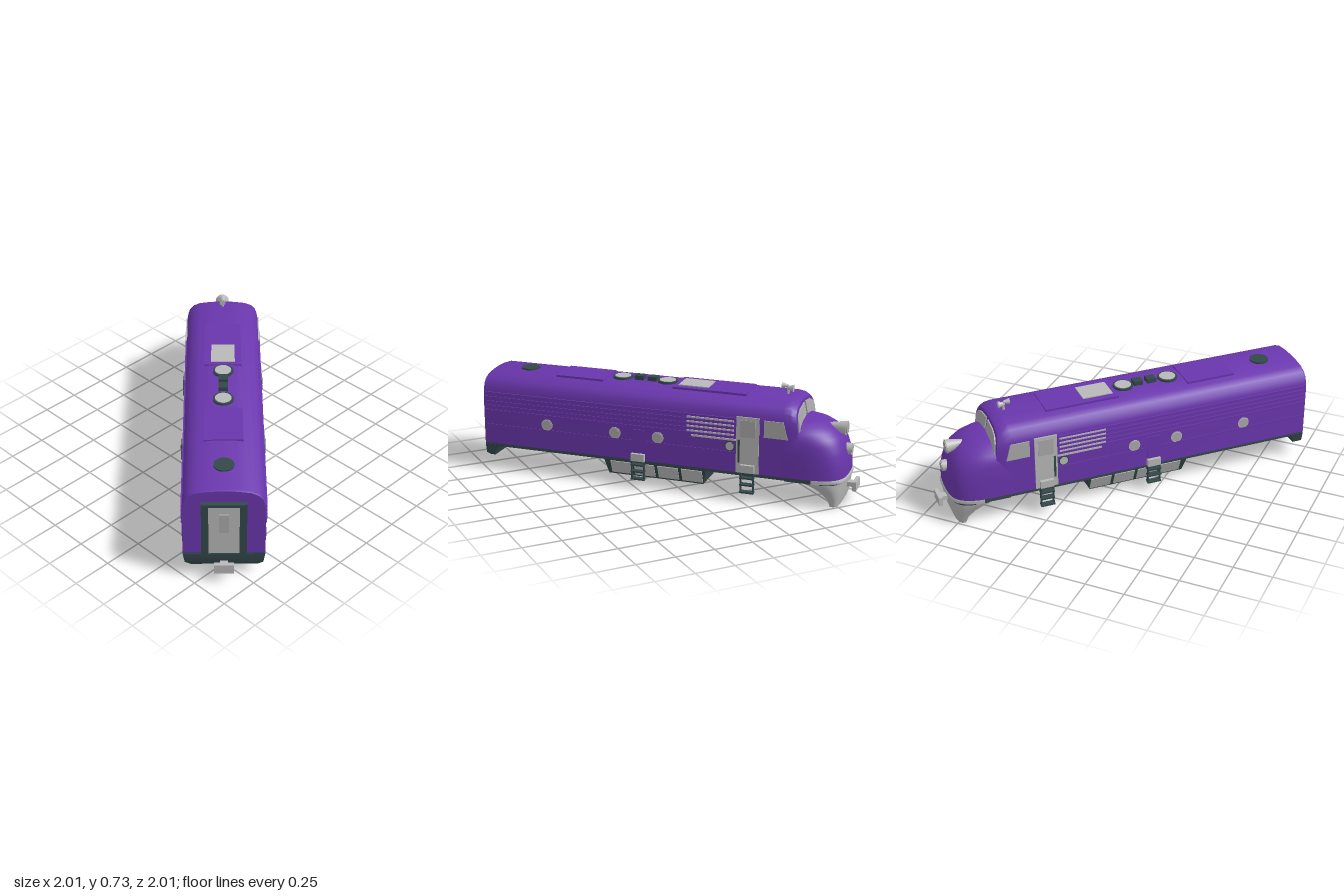
import * as THREE from 'three';
import { toCreasedNormals } from 'three/addons/utils/BufferGeometryUtils.js';

const mat = (name, color) => Object.assign(new THREE.MeshStandardMaterial({ color }), { name });

// Skin a stack of equal-length rings; ends may be capped with fans.
function loft(rings, closed = true, caps = true) {
  const n = rings[0].length, pos = rings.flat(2), idx = [], m = rings.length;
  for (let i = 0; i < m - 1; i++) {
    for (let j = 0; j < (closed ? n : n - 1); j++) {
      const k = (j + 1) % n, a = i * n + j, b = i * n + k;
      idx.push(a, b, a + n, b, b + n, a + n);
    }
  }
  if (caps) {
    [0, m - 1].forEach((r, e) => {
      const c = pos.length / 3;
      for (let k = 0; k < 3; k++) pos.push(rings[r].reduce((s, p) => s + p[k], 0) / n);
      for (let j = 0; j < n; j++) {
        const p = r * n + j, q = r * n + (j + 1) % n;
        e ? idx.push(c, p, q) : idx.push(c, q, p);
      }
    });
  }
  const g = new THREE.BufferGeometry();
  g.setAttribute('position', new THREE.Float32BufferAttribute(pos, 3));
  g.setIndex(idx);
  return toCreasedNormals(g, 0.6);
}

// Rounded nose outline at height y, from the left side round the front to the right.
function plan(y, start, front, width, n = 3.7, span = Math.PI / 2) {
  return Array.from({ length: 33 }, (_, i) => {
    const t = span * (1 - i / 16), c = Math.max(0, Math.cos(t)), s = Math.sin(t);
    return [start + (front - start) * c ** (2 / n), y, width * Math.sign(s) * Math.abs(s) ** (2 / n)];
  });
}

export function createModel() {
  const purple = mat('purple paint', 0x6a36ad), dark = mat('dark underframe', 0x33484a);
  const silver = mat('silver', 0xb8b8b8), glass = mat('grey glass', 0xaaaaaa);
  const trim = mat('open silver trim', 0xb8b8b8);
  trim.side = THREE.DoubleSide;
  const model = new THREE.Group(), loco = new THREE.Group();
  loco.name = 'locomotive';
  model.add(loco);

  const add = (name, geo, m, x = 0, y = 0, z = 0) => {
    const o = new THREE.Mesh(geo, m);
    o.name = name;
    o.position.set(x, y, z);
    loco.add(o);
    return o;
  };
  // Box given by its x range, y range and z range.
  const box = (name, m, x0, x1, y0, y1, z0, z1) =>
    add(name, new THREE.BoxGeometry(x1 - x0, y1 - y0, Math.abs(z1 - z0)), m, (x0 + x1) / 2, (y0 + y1) / 2, (z0 + z1) / 2);
  const upright = (name, m, r, h, x, y) => add(name, new THREE.CylinderGeometry(r, r, h, 32), m, x, y, 0);
  const along = (name, m, rFront, rBack, x0, x1, y) => {
    const o = add(name, new THREE.CylinderGeometry(rFront, rBack, x1 - x0, 28), m, (x0 + x1) / 2, y, 0);
    o.rotation.z = -Math.PI / 2;
    return o;
  };

  // Body shell with arched roof and sloping cab front
  const half = [[0.247, 0.18], [0.247, 0.35], [0.247, 0.5], [0.243, 0.55], [0.23, 0.59], [0.205, 0.62],
    [0.16, 0.641], [0.08, 0.652]];
  const section = [...half.map(([w, y]) => [-w, y]), [0, 0.655], ...half.slice().reverse()];
  const slope = y => -0.2 * Math.max(0, y - 0.5);
  const stations = [[-1.167, 0.99, 0], [-1.155, 1, 0], [0.88, 1, 0], [0.94, 0.985, 0.6], [0.975, 0.945, 1]];
  add('body', loft(stations.map(([x, s, k]) => section.map(([w, y]) => {
    const h = 0.18 + (y - 0.18) * s;
    return [x + k * slope(h), h, w * s];
  }))), purple);

  // Rounded nose
  const noseRows = [[0.18, 1.262, 0.247, 3.7], [0.26, 1.26, 0.247, 3.6], [0.33, 1.25, 0.247, 3.4], [0.39, 1.232, 0.244, 3.1],
    [0.43, 1.21, 0.238, 2.9], [0.465, 1.175, 0.222, 2.7], [0.495, 1.13, 0.19, 2.5], [0.518, 1.07, 0.135, 2.4], [0.533, 0.99, 0.05, 2.2]];
  add('nose', loft(noseRows.map(([y, f, w, n]) => plan(y, 0.88, f, w, n))), purple);

  // Windscreen panes following the sloped cab front
  for (const s of [1, -1]) {
    const pts = [[0.014, 0.525], [0.212, 0.475], [0.203, 0.545], [0.172, 0.58], [0.12, 0.6], [0.014, 0.612]];
    const shape = new THREE.Shape(pts.map(([w, y]) => new THREE.Vector2(-s * w, y)));
    const g = new THREE.ExtrudeGeometry(shape, { depth: 0.008, bevelEnabled: false });
    g.rotateY(Math.PI / 2);
    const p = g.attributes.position;
    for (let i = 0; i < p.count; i++) p.setX(i, p.getX(i) + 0.976 + slope(p.getY(i)));
    g.computeVertexNormals();
    add('windscreen', g, glass);
  }

  // Sill, floor and silver nose band
  box('sill', dark, -1.165, 1.08, 0.16, 0.182, -0.243, 0.243);
  add('noseFloor', loft([0.155, 0.181].map(y => plan(y, 0.9, 1.255, 0.243))), dark);
  add('noseBand', loft([[0.15, 1.262], [0.158, 1.27], [0.174, 1.27], [0.182, 1.264]].map(([y, f]) =>
    plan(y, 0.88, f, 0.251, 3.7, 1.3)), false, false), trim);

  // Pilot: silver outer shell over a dark core
  const pilotRows = [[0, 1.185, 1.235, 0.185], [0.05, 1.17, 1.247, 0.2], [0.1, 1.13, 1.254, 0.222],
    [0.135, 1.08, 1.258, 0.239], [0.156, 1.03, 1.262, 0.247]];
  add('pilot', loft(pilotRows.map(([y, s, f, w]) => plan(y, s, f, w)), false, false), trim);
  add('pilotCore', loft(pilotRows.map(([y, s, f, w]) => plan(y + 0.001, s, f - 0.008, w - 0.006))), dark);

  // Rear skirt and centre tank, both tapering downward
  const hull = (name, rows) => add(name, loft(rows.map(([y, a, b, w]) =>
    [[a, y, w], [b, y, w], [b, y, -w], [a, y, -w]])), dark);
  hull('rearSkirt', [[0.08, -1.155, -1.12, 0.2], [0.105, -1.165, -1.11, 0.235], [0.17, -1.167, -1.07, 0.246]]);
  hull('tank', [[0.05, -0.295, 0.355, 0.19], [0.165, -0.315, 0.385, 0.235]]);

  // Couplers
  box('frontCouplerShank', silver, 1.24, 1.3, 0.09, 0.12, -0.025, 0.025);
  box('frontCoupler', silver, 1.295, 1.32, 0.075, 0.135, -0.06, 0.06);
  box('rearCouplerShank', silver, -1.21, -1.15, 0.085, 0.115, -0.025, 0.025);
  box('rearCoupler', silver, -1.23, -1.205, 0.07, 0.135, -0.06, 0.06);

  // Rear gangway door
  for (const s of [1, -1]) box('rearDoorFrame', dark, -1.195, -1.16, 0.18, 0.57, s * 0.092, s * 0.135);
  box('rearDoorLintel', dark, -1.195, -1.16, 0.55, 0.57, -0.135, 0.135);
  box('rearDoor', silver, -1.178, -1.16, 0.185, 0.55, -0.092, 0.092);
  box('rearDoorWindow', glass, -1.184, -1.177, 0.35, 0.485, -0.028, 0.028);

  // Headlights
  along('headlightHousing', silver, 0.046, 0.012, 1.09, 1.235, 0.473).rotation.z -= 0.06;
  along('headlightLens', glass, 0.036, 0.036, 1.23, 1.242, 0.468);
  along('lowerLamp', silver, 0.036, 0.04, 1.2, 1.272, 0.335);
  along('lowerLampLens', glass, 0.027, 0.027, 1.27, 1.277, 0.335);

  // Roof panels, fans, exhausts and vent
  box('rearRoofPanel', purple, -0.69, -0.36, 0.64, 0.66, -0.12, 0.12);
  box('frontRoofPanel', purple, 0.12, 0.61, 0.64, 0.66, -0.12, 0.12);
  box('roofGrille', silver, 0.145, 0.346, 0.65, 0.666, -0.077, 0.077);
  upright('roofVent', dark, 0.062, 0.02, -0.93, 0.654);
  for (const x of [-0.265, 0.046]) {
    upright('fanRing', dark, 0.066, 0.022, x, 0.655);
    upright('fan', silver, 0.053, 0.022, x, 0.658);
  }
  for (const x of [-0.145, -0.053]) box('exhaust', dark, x - 0.031, x + 0.031, 0.64, 0.682, -0.03, 0.03);

  // Horn
  upright('hornStem', silver, 0.009, 0.05, 0.85, 0.67);
  along('hornFrontBell', silver, 0.023, 0.009, 0.84, 0.885, 0.692);
  along('hornRearBell', silver, 0.008, 0.02, 0.81, 0.85, 0.705);

  for (const s of [1, -1]) {
    const side = (name, m, x0, x1, y0, y1, out, inn = 0.235) => box(name, m, x0, x1, y0, y1, s * inn, s * out);
    const round = (name, m, r, out, x, y) => {
      add(name, new THREE.CylinderGeometry(r, r, 0.02, 28), m, x, y, s * (out - 0.01)).rotation.x = Math.PI / 2;
    };
    // Louvres and belt trim
    for (let i = 0; i < 5; i++) side('louvre', purple, -1.155, 0.585, 0.403 + i * 0.03, 0.417 + i * 0.03, 0.253);
    for (let i = 0; i < 4; i++) side('silverLouvre', silver, 0.26, 0.57, 0.42 + i * 0.03, 0.43 + i * 0.03, 0.253);
    side('nameRail', silver, 0.29, 0.585, 0.388, 0.4, 0.254);
    side('beltTrim', purple, -1.155, 0.585, 0.3, 0.315, 0.251);
    // Portholes
    for (const x of [-0.71, -0.23, 0.064]) {
      round('portholeRim', silver, 0.039, 0.251, x, 0.35);
      round('portholeGlass', glass, 0.031, 0.254, x, 0.35);
    }
    round('smallPortholeRim', dark, 0.034, 0.251, 0.545, 0.35);
    round('smallPortholeGlass', silver, 0.027, 0.254, 0.545, 0.35);
    // Cab door and side window
    side('cabDoor', silver, 0.587, 0.735, 0.182, 0.55, 0.253);
    side('cabDoorWindow', glass, 0.612, 0.71, 0.42, 0.53, 0.257);
    side('doorHandle', dark, 0.6, 0.612, 0.25, 0.4, 0.26);
    const win = new THREE.Shape([[0.765, 0.43], [0.918, 0.43], [0.888, 0.54], [0.765, 0.54]].map(p => new THREE.Vector2(...p)));
    add('cabSideWindow', new THREE.ExtrudeGeometry(win, { depth: 0.009, bevelEnabled: false }), glass, 0, 0, s > 0 ? 0.242 : -0.251);
    // Access panel, steps and ladders
    side('accessPanel', purple, -0.115, -0.025, 0.23, 0.39, 0.253);
    for (const [x, top] of [[-0.067, 0.18], [0.665, 0.19]]) {
      side('step', silver, x - 0.045, x + 0.045, top, top + 0.05, 0.275);
      for (const d of [-0.045, 0.037]) side('ladderRail', dark, x + d, x + d + 0.008, 0.05, top, 0.268, 0.25);
      for (const y of [0.055, 0.105, 0.15]) side('ladderRung', dark, x - 0.045, x + 0.045, y, y + 0.01, 0.28, 0.24);
    }
    // Tank side panels, tilted with the tank
    for (let i = 0; i < 4; i++) {
      const p = add('tankPanel', new THREE.BoxGeometry(0.14, 0.095, 0.008), silver, -0.2 + i * 0.162, 0.107, s * 0.2135);
      p.rotation.x = s * 0.373;
    }
  }

  loco.rotation.y = Math.PI / 4;
  return model;
}
